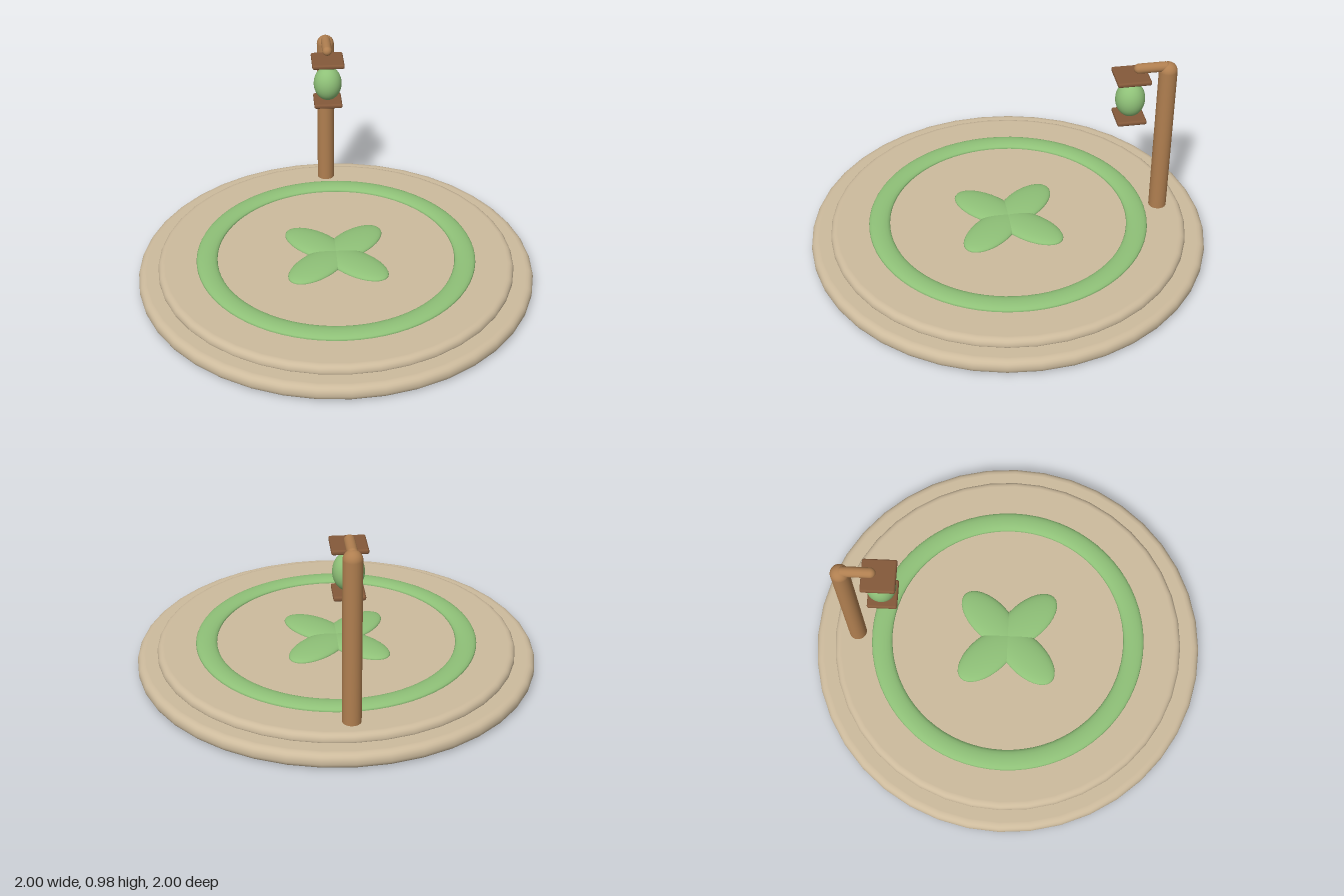
import * as THREE from 'three';
import { RoundedBoxGeometry } from 'three/addons/geometries/RoundedBoxGeometry.js';

const mat = (name, color) => Object.assign(new THREE.MeshStandardMaterial({ color }), { name });

// Closed disc with a rounded rim, turned on the y axis
function discGeometry(radius, y0, y1, bevelLow, bevelHigh) {
  const pts = [new THREE.Vector2(0, y0), new THREE.Vector2(radius - bevelLow - 0.004, y0)];
  const steps = 5;
  const arc = (b, cy, from, to) => {
    for (let i = 0; i <= steps; i++) {
      const a = from + (to - from) * i / steps;
      pts.push(new THREE.Vector2(radius - b + b * Math.cos(a), cy + b * Math.sin(a)));
    }
  };
  arc(bevelLow, y0 + bevelLow, -Math.PI / 2, 0);
  arc(bevelHigh, y1 - bevelHigh, 0, Math.PI / 2);
  pts.push(new THREE.Vector2(radius - bevelHigh - 0.004, y1), new THREE.Vector2(0, y1));
  return new THREE.LatheGeometry(pts, 40);
}

export function createModel() {
  const group = new THREE.Group();
  const stone = mat('stone', 0xcdbb9d);
  const green = mat('leafGreen', 0x8fc178);
  const wood = mat('wood', 0xb07f50);
  const darkWood = mat('darkWood', 0x84593a);

  const add = (name, geometry, material, x = 0, y = 0, z = 0) => {
    const mesh = new THREE.Mesh(geometry, material);
    mesh.name = name;
    mesh.position.set(x, y, z);
    group.add(mesh);
    return mesh;
  };

  // Two stepped stone discs
  add('lowerDisc', discGeometry(1, 0, 0.075, 0.03, 0.035), stone);
  add('upperDisc', discGeometry(0.9, 0.07, 0.115, 0.01, 0.03), stone);

  // Flattened inlaid ring
  const ring = new THREE.TorusGeometry(0.653, 0.053, 16, 72).rotateX(Math.PI / 2).scale(1, 0.38, 1);
  add('ring', ring, green, 0, 0.116, 0);

  // Four flattened leaves on the diagonals
  const leaf = new THREE.SphereGeometry(1, 32, 16).scale(0.19, 0.027, 0.1);
  for (let i = 0; i < 4; i++) {
    const a = Math.PI / 4 + i * Math.PI / 2;
    const petal = add('leaf', leaf, green, 0.14 * Math.cos(a), 0.116, 0.14 * Math.sin(a));
    petal.rotation.y = -a;
  }

  // Post with domed top and an arm reaching forward
  add('post', new THREE.CylinderGeometry(0.045, 0.045, 0.815, 24), wood, 0, 0.5175, -0.78);
  add('postCap', new THREE.SphereGeometry(0.045, 24, 8, 0, Math.PI * 2, 0, Math.PI / 2), wood, 0, 0.925, -0.78);
  add('arm', new THREE.CapsuleGeometry(0.025, 0.13, 6, 16).rotateX(Math.PI / 2), wood, 0, 0.95, -0.7);

  // Hanging lantern between two square plates
  add('lanternRoof', new RoundedBoxGeometry(0.166, 0.024, 0.166, 3, 0.01), darkWood, 0, 0.911, -0.6);
  add('lanternFloor', new RoundedBoxGeometry(0.146, 0.024, 0.146, 3, 0.01), darkWood, 0, 0.68, -0.6);
  add('lanternGlobe', new THREE.SphereGeometry(1, 32, 20).scale(0.073, 0.092, 0.073), green, 0, 0.783, -0.6);

  return group;
}
